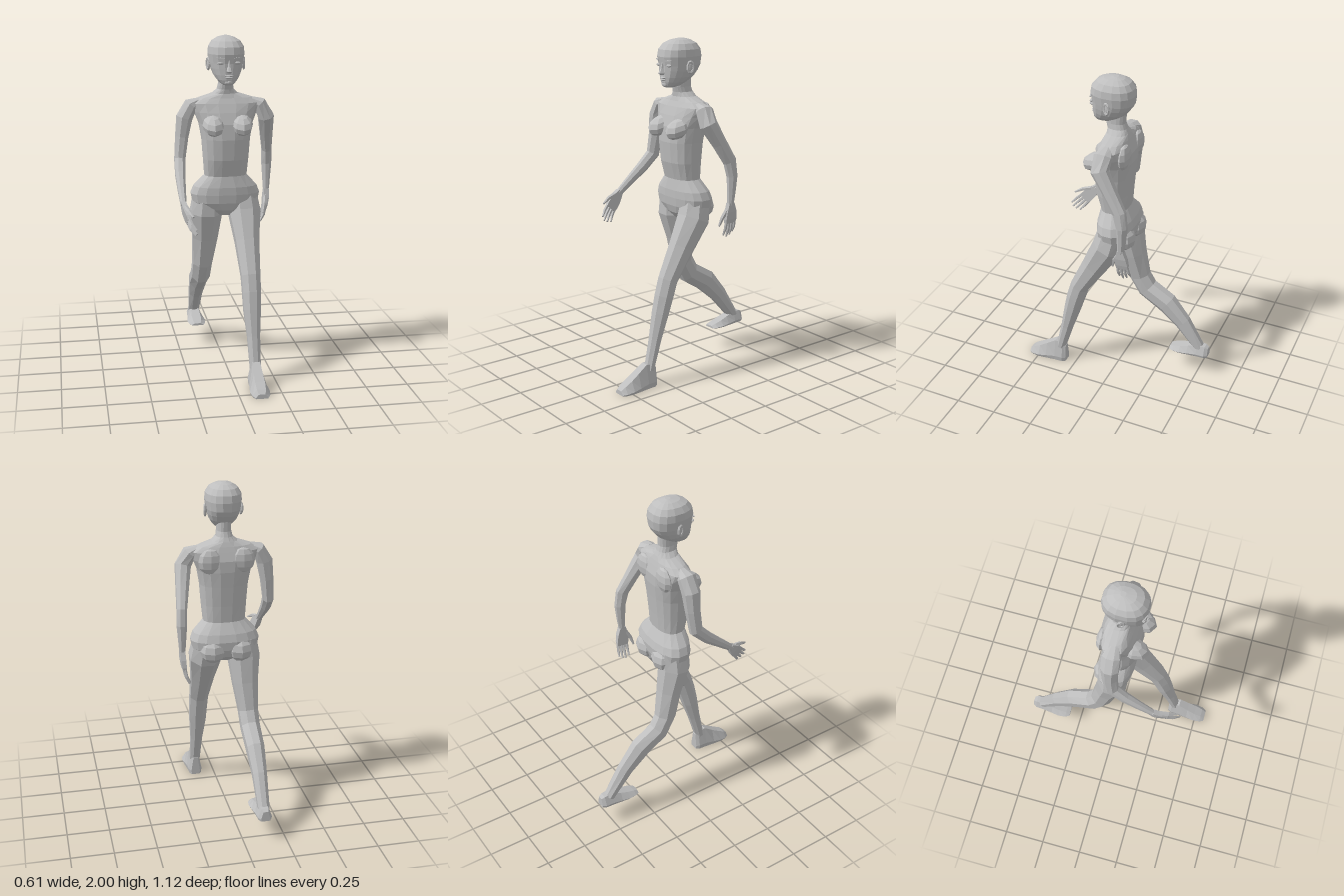
import * as THREE from 'three';

const skin = new THREE.MeshStandardMaterial({ color: 0xbebebe });
skin.name = 'grey clay';
const V = (x, y, z) => new THREE.Vector3(x, y, z);

// Gives a geometry faceted normals and wraps it in a named mesh
function facet(name, geometry) {
  const g = geometry.index ? geometry.toNonIndexed() : geometry;
  g.computeVertexNormals();
  const mesh = new THREE.Mesh(g, skin);
  mesh.name = name;
  return mesh;
}

// Skins a row of equal-sized rings and closes both ends
function loft(name, rings) {
  const n = rings[0].length, tris = [];
  for (let i = 0; i < rings.length - 1; i++) {
    for (let j = 0; j < n; j++) {
      const k = (j + 1) % n, a = rings[i], b = rings[i + 1];
      tris.push([a[j], b[j], b[k]], [a[j], b[k], a[k]]);
    }
  }
  const first = rings[0], last = rings[rings.length - 1];
  const middle = ring => ring.reduce((s, p) => s.add(p), V(0, 0, 0)).divideScalar(n);
  const m0 = middle(first), m1 = middle(last);
  for (let j = 0; j < n; j++) {
    const k = (j + 1) % n;
    tris.push([m0, first[j], first[k]], [m1, last[k], last[j]]);
  }
  // Turn all faces outward
  let volume = 0;
  for (const [a, b, c] of tris) volume += a.dot(b.clone().cross(c));
  if (volume < 0) tris.forEach(t => t.reverse());
  return facet(name, new THREE.BufferGeometry().setFromPoints(tris.flat()));
}

// Level oval ring from half width, front z and back z
function oval([y, w, front, back], n, power) {
  const bend = v => Math.sign(v) * Math.abs(v) ** (2 / power);
  const mid = (front + back) / 2, depth = (front - back) / 2;
  return Array.from({ length: n }, (_, j) => {
    const t = (j + 0.5) / n * Math.PI * 2;
    return V(w * bend(Math.sin(t)), y, mid + depth * bend(Math.cos(t)));
  });
}

// Limb of oval rings set square to a path of [x, y, z, half width, half depth]
function limb(name, stations, n = 8) {
  const p = stations.map(s => V(s[0], s[1], s[2]));
  return loft(name, stations.map((s, i) => {
    const t = p[Math.min(i + 1, p.length - 1)].clone().sub(p[Math.max(i - 1, 0)]).normalize();
    const u = V(1, 0, 0).addScaledVector(t, -t.x).normalize();
    const v = t.clone().cross(u);
    return Array.from({ length: n }, (_, j) => {
      const a = (j + 0.5) / n * Math.PI * 2;
      return p[i].clone().addScaledVector(u, s[3] * Math.cos(a)).addScaledVector(v, s[4] * Math.sin(a));
    });
  }));
}

// Faceted ellipsoid that can droop toward its front
function blob(name, center, radii, droop = 0, w = 8, h = 6) {
  const g = new THREE.SphereGeometry(1, w, h).scale(...radii);
  const pos = g.attributes.position;
  for (let i = 0; i < pos.count; i++) pos.setY(i, pos.getY(i) - droop * pos.getZ(i));
  return facet(name, g.translate(...center));
}

// Hand: palm, four fingers and thumb; d points to the fingers, s to the thumb, c to the palm
function hand(name, wrist, d, s, c) {
  const group = new THREE.Group();
  group.name = name;
  const at = (along, across, curl) => wrist.clone()
    .addScaledVector(d, along).addScaledVector(s, across).addScaledVector(c, curl);
  const slab = (along, half, thick, curl) => [[-1, -1], [1, -1], [1, 1], [-1, 1]].map(
    ([a, b]) => at(along, a * half, curl + b * thick));
  group.add(loft('palm', [slab(-0.01, 0.018, 0.015, 0), slab(0.045, 0.034, 0.015, 0),
    slab(0.09, 0.038, 0.012, 0.003), slab(0.115, 0.035, 0.009, 0.006)]));
  const digit = (label, pts) => group.add(limb(label, pts.map(
    ([a, b, e, r]) => [...at(a, b, e).toArray(), r, r]), 5));
  for (let i = 0; i < 4; i++) {
    const x = -0.029 + i * 0.019, len = [0.07, 0.085, 0.092, 0.08][i];
    digit('finger', [[0.1, x, 0.004, 0.01], [0.11 + len * 0.5, x * 1.15, 0.012, 0.009],
      [0.11 + len, x * 1.2, 0.03, 0.005]]);
  }
  digit('thumb', [[0.03, 0.022, 0.004, 0.014], [0.075, 0.052, 0.012, 0.012], [0.125, 0.07, 0.022, 0.006]]);
  return group;
}

// Foot: flat-soled sections from heel to toe as [distance, half width, height]
function foot(name, x, y, z, height) {
  const sections = [[0, 0.028, 0.8], [0.02, 0.042, 0.95], [0.07, 0.045, 1], [0.13, 0.052, 0.72],
    [0.18, 0.058, 0.5], [0.225, 0.052, 0.32], [0.25, 0.038, 0.18]];
  return loft(name, sections.map(([d, w, h]) => [[-0.9, 0], [0.9, 0], [1, 0.22], [0.5, 1], [-0.5, 1], [-1, 0.22]]
    .map(([a, b]) => V(x + a * w, y + b * h * height, z + d))));
}

export function createModel() {
  const model = new THREE.Group();
  model.name = 'walkingFigure';

  // Torso from crotch to neck
  const torso = [
    [0.95, 0.05, 0.05, -0.06], [0.985, 0.12, 0.08, -0.1], [1.03, 0.195, 0.095, -0.115],
    [1.08, 0.205, 0.1, -0.118], [1.125, 0.187, 0.1, -0.105], [1.19, 0.125, 0.09, -0.07],
    [1.29, 0.133, 0.118, -0.078], [1.41, 0.142, 0.13, -0.09], [1.5, 0.158, 0.125, -0.1],
    [1.565, 0.185, 0.105, -0.1], [1.615, 0.205, 0.085, -0.085], [1.645, 0.155, 0.07, -0.075],
    [1.67, 0.075, 0.062, -0.065], [1.695, 0.048, 0.064, -0.052], [1.725, 0.042, 0.072, -0.042],
    [1.79, 0.042, 0.07, -0.045]];
  model.add(loft('torso', torso.map(r => oval(r, 16, 2.4))));

  // Head from chin to crown
  const head = [
    [1.727, 0.026, 0.132, 0.06], [1.737, 0.042, 0.14, 0.025], [1.757, 0.06, 0.146, -0.01],
    [1.785, 0.077, 0.149, -0.05], [1.82, 0.09, 0.15, -0.078], [1.85, 0.097, 0.151, -0.094],
    [1.9, 0.104, 0.16, -0.1], [1.94, 0.1, 0.152, -0.093], [1.972, 0.08, 0.125, -0.07],
    [1.991, 0.048, 0.085, -0.035], [2.0, 0.015, 0.03, 0]];
  model.add(loft('head', head.map(r => oval(r, 16, 2.35))));

  // Face
  model.add(loft('nose', [[1.868, 0.006, 0.154, 0.13], [1.835, 0.009, 0.163, 0.13],
    [1.808, 0.017, 0.178, 0.13], [1.798, 0.012, 0.163, 0.13]].map(r => oval(r, 6, 2))));
  model.add(blob('upperLip', [0, 1.782, 0.147], [0.026, 0.006, 0.012]));
  model.add(blob('lowerLip', [0, 1.771, 0.146], [0.021, 0.007, 0.012]));
  model.add(blob('chin', [0, 1.744, 0.134], [0.026, 0.015, 0.013]));

  for (const [side, m] of [['left', 1], ['right', -1]]) {
    model.add(blob(side + 'Eye', [m * 0.047, 1.853, 0.14], [0.021, 0.009, 0.011]));
    const brow = facet(side + 'Brow', new THREE.BoxGeometry(0.046, 0.006, 0.008));
    brow.position.set(m * 0.05, 1.882, 0.146);
    brow.rotation.set(0, m * 0.35, m * 0.1);
    model.add(brow);

    // Ear: rim and inner bowl
    const ear = new THREE.Group();
    ear.name = side + 'Ear';
    ear.add(facet('earRim', new THREE.TorusGeometry(0.02, 0.007, 5, 9).scale(0.9, 1.5, 1)));
    ear.add(blob('earBowl', [0, 0, -0.004], [0.018, 0.028, 0.007]));
    ear.position.set(m * 0.103, 1.842, 0.03);
    ear.rotation.y = m * (Math.PI / 2 - 0.3);
    model.add(ear);

    model.add(blob(side + 'Breast', [m * 0.083, 1.497, 0.1], [0.064, 0.056, 0.086], 0.28));
    model.add(blob(side + 'Buttock', [m * 0.082, 1.025, -0.07], [0.08, 0.075, 0.07], -0.1));
    model.add(blob(side + 'ShoulderBlade', [m * 0.095, 1.565, -0.075], [0.07, 0.075, 0.032]));
  }

  // Arms: left swings back, right swings forward
  const shoulder = m => [[m * 0.15, 1.632, 0.005, 0.015, 0.03], [m * 0.2, 1.605, 0.005, 0.042, 0.055],
    [m * 0.24, 1.53, 0.008, 0.049, 0.054]];
  model.add(limb('leftArm', [...shoulder(1), [0.256, 1.42, -0.06, 0.04, 0.044],
    [0.272, 1.31, -0.124, 0.031, 0.042], [0.276, 1.22, -0.14, 0.031, 0.034],
    [0.275, 1.13, -0.137, 0.024, 0.027], [0.274, 1.05, -0.132, 0.018, 0.02]]));
  model.add(limb('rightArm', [...shoulder(-1), [-0.256, 1.42, 0.01, 0.04, 0.045],
    [-0.27, 1.29, 0.025, 0.034, 0.042], [-0.277, 1.215, 0.1, 0.031, 0.036],
    [-0.28, 1.14, 0.195, 0.024, 0.027], [-0.28, 1.075, 0.275, 0.018, 0.021]]));
  model.add(hand('leftHand', V(0.274, 1.055, -0.132), V(-0.04, -1, -0.06).normalize(),
    V(0, -0.06, 1).normalize(), V(-1, 0, 0)));
  model.add(hand('rightHand', V(-0.28, 1.08, 0.27), V(0.12, -0.68, 0.64).normalize(),
    V(0, 0.68, 0.73).normalize(), V(1, 0, 0)));

  // Legs: left strides forward, right trails with a bent knee
  model.add(limb('leftLeg', [[0.105, 1.08, -0.015, 0.085, 0.09], [0.113, 0.96, 0.015, 0.1, 0.098],
    [0.114, 0.8, 0.105, 0.075, 0.079], [0.117, 0.62, 0.207, 0.06, 0.06], [0.118, 0.53, 0.235, 0.058, 0.058],
    [0.117, 0.43, 0.262, 0.054, 0.052], [0.119, 0.28, 0.302, 0.04, 0.039], [0.122, 0.1, 0.35, 0.034, 0.03]]));
  model.add(limb('rightLeg', [[-0.105, 1.08, -0.015, 0.085, 0.09], [-0.113, 0.96, -0.015, 0.1, 0.095],
    [-0.115, 0.8, -0.052, 0.08, 0.076], [-0.127, 0.63, -0.088, 0.062, 0.068], [-0.13, 0.54, -0.14, 0.06, 0.07],
    [-0.13, 0.46, -0.27, 0.056, 0.072], [-0.13, 0.345, -0.38, 0.045, 0.055], [-0.128, 0.18, -0.5, 0.036, 0.034]]));
  model.add(foot('leftFoot', 0.122, 0, 0.312, 0.145));
  model.add(foot('rightFoot', -0.126, 0.133, -0.56, 0.075));

  return model;
}
